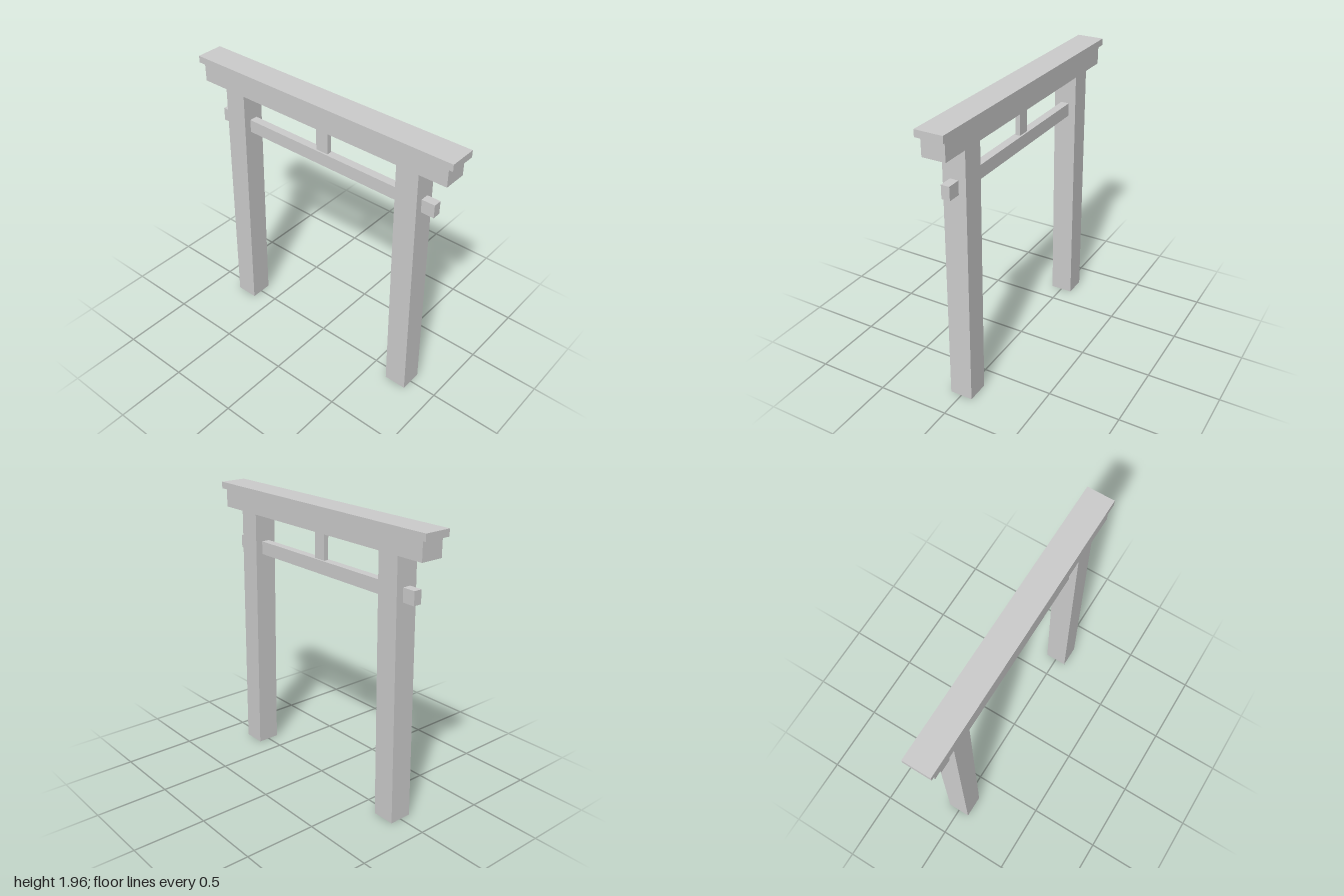
import * as THREE from 'three';

const material = new THREE.MeshStandardMaterial({ color: 0xcccccc, flatShading: true });

// Box standing on y = bottom, centred on z = 0
function beam(name, width, bottom, top, depth, x = 0) {
  const geometry = new THREE.BoxGeometry(width, top - bottom, depth);
  geometry.translate(x, (bottom + top) / 2, 0);
  const mesh = new THREE.Mesh(geometry, material);
  mesh.name = name;
  return mesh;
}

// Pillar of constant section that leans inwards towards the top
function pillar(name, side) {
  const height = 1.78, footX = 0.724, lean = 0.029;
  const mesh = beam(name, 0.158, 0, height, 0.16, side * footX);
  const shear = new THREE.Matrix4().makeShear(0, 0, 0, 0, 0, 0);
  shear.elements[4] = -side * lean / height; // x shifts with y
  mesh.geometry.applyMatrix4(shear);
  mesh.geometry.computeVertexNormals();
  return mesh;
}

export function createModel() {
  const gate = new THREE.Group();
  gate.name = 'gate';

  // Two leaning pillars
  gate.add(pillar('leftPillar', 1), pillar('rightPillar', -1));

  // Top lintel with its overhanging cap
  gate.add(beam('lintel', 1.93, 1.78, 1.908, 0.16));
  gate.add(beam('cap', 2, 1.908, 1.955, 0.19));

  // Tie beam through the pillars and the short strut above it
  gate.add(beam('tieBeam', 1.74, 1.49, 1.582, 0.058));
  gate.add(beam('centreStrut', 0.092, 1.582, 1.78, 0.034));

  return gate;
}
